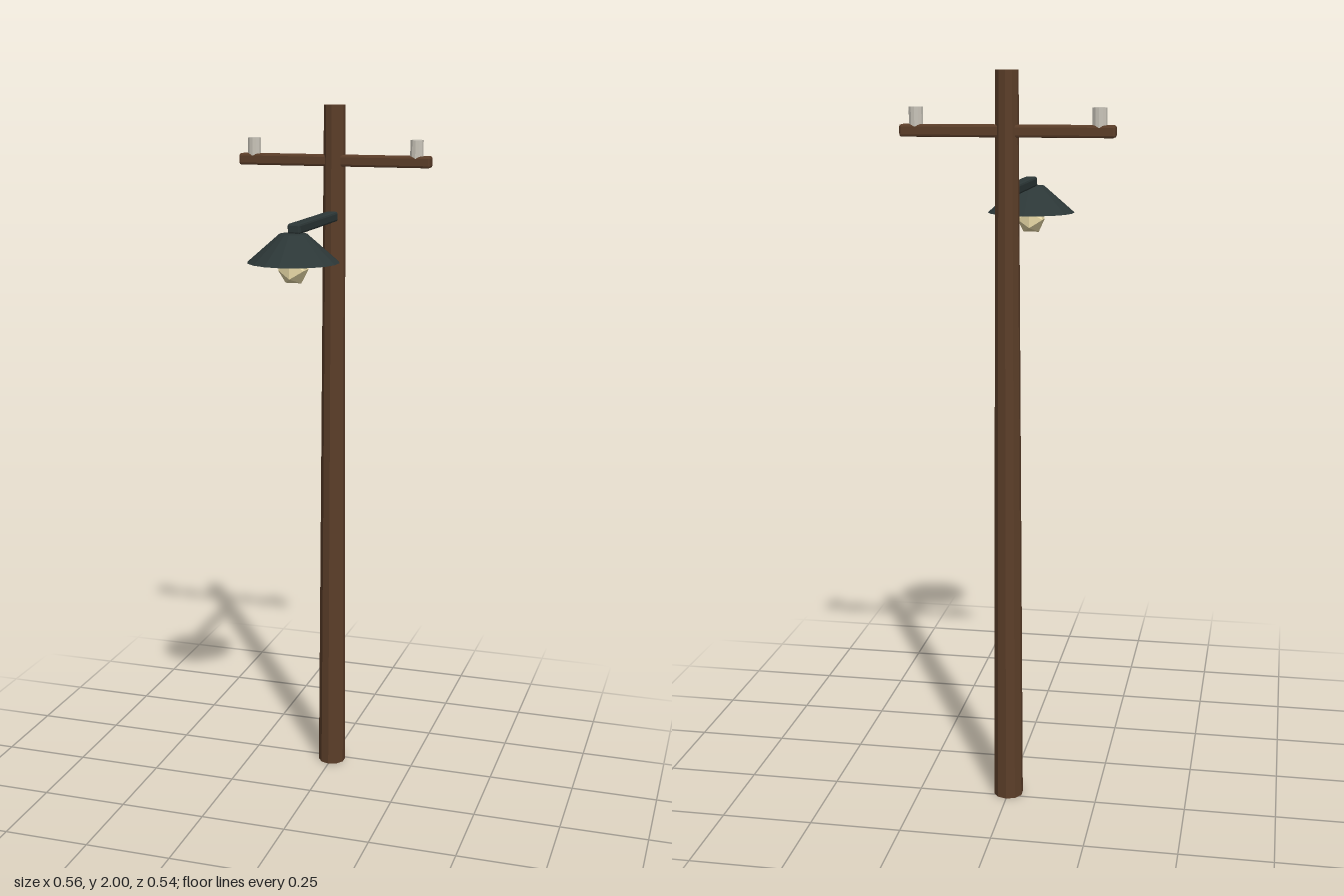
import * as THREE from 'three';
import { RoundedBoxGeometry } from 'three/addons/geometries/RoundedBoxGeometry.js';

const POLE_Z = -0.23;
const LAMP_Z = 0.147;

function material(name, color) {
  const m = new THREE.MeshStandardMaterial({ color, flatShading: true });
  m.name = name;
  return m;
}

export function createModel() {
  const group = new THREE.Group();
  group.name = 'streetLamp';

  const wood = material('brown wood', 0x5c3e29);
  const metal = material('dark green metal', 0x2c3737);
  const ceramic = material('pale ceramic', 0xcac5ba);
  const glass = material('warm glass', 0xeadba8);

  function add(name, geometry, mat, x, y, z) {
    const mesh = new THREE.Mesh(geometry, mat);
    mesh.name = name;
    mesh.position.set(x, y, z);
    group.add(mesh);
    return mesh;
  }

  // Tapered timber pole
  add('pole', new THREE.CylinderGeometry(0.03, 0.041, 2, 10), wood, 0, 1, POLE_Z);

  // Crossarm with chamfered edges
  add('crossarm', new RoundedBoxGeometry(0.562, 0.032, 0.037, 1, 0.006), wood, 0, 1.847, POLE_Z);

  // Insulators on both ends of the crossarm
  for (const [side, name] of [[1, 'leftInsulator'], [-1, 'rightInsulator']]) {
    add(name, new THREE.CylinderGeometry(0.019, 0.019, 0.05, 12), ceramic, side * 0.239, 1.882, POLE_Z);
  }

  // Bracket from the pole to the lamp
  const armLength = LAMP_Z - POLE_Z;
  add('lampArm', new RoundedBoxGeometry(0.036, 0.028, armLength, 1, 0.006), metal,
    0, 1.692, (POLE_Z + LAMP_Z) / 2 - 0.002);

  // Conical shade
  add('lampShade', new THREE.CylinderGeometry(0.037, 0.123, 0.075, 18), metal, 0, 1.6425, LAMP_Z);

  // Faceted bulb
  add('bulb', new THREE.IcosahedronGeometry(0.042, 0), glass, 0, 1.586, LAMP_Z);

  return group;
}
